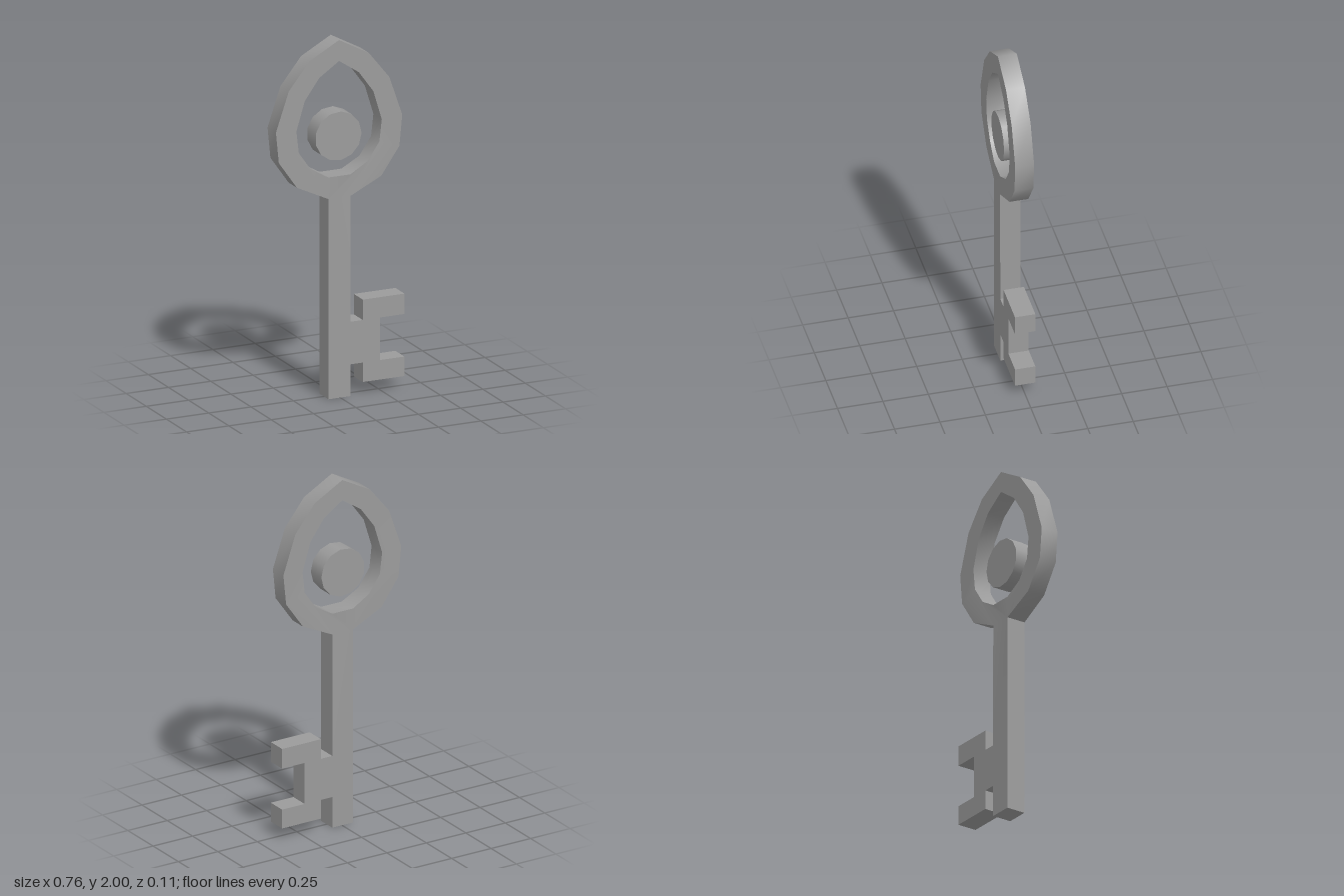
import * as THREE from 'three';
import { toCreasedNormals } from 'three/addons/utils/BufferGeometryUtils.js';

const CX = -0.005;   // axis of the bow
const HALF = 0.056;  // half thickness of shaft and bit
const THIN = 0.052;  // half thickness of the bow

// Mirror a right-hand half profile (tip first) onto the left, tip excluded
const mirrored = (half) => half.slice(1).reverse().map(([x, y]) => [-x, y]);
const toPoints = (list, dx = 0) => list.map(([x, y]) => new THREE.Vector2(x + dx, y));

export function createModel() {
  const group = new THREE.Group();
  const material = new THREE.MeshStandardMaterial({ color: 0x9b9b9b });

  // Half profiles of the pointed bow, from the tip down
  const outer = [[0, 2], [0.175, 1.905], [0.297, 1.753], [0.373, 1.532], [0.356, 1.36], [0.249, 1.207], [0.065, 1.12]];
  const inner = [[0, 1.883], [0.117, 1.804], [0.202, 1.687], [0.252, 1.523], [0.238, 1.4], [0.168, 1.3], [0.065, 1.241]];

  // Shaft with the toothed bit on the right, from the bow down and back up
  const shaftAndBit = [
    [0.061, 0.416], [0.133, 0.416], [0.133, 0.53], [0.379, 0.53], [0.379, 0.416], [0.236, 0.416],
    [0.236, 0.178], [0.379, 0.178], [0.379, 0.069], [0.133, 0.069], [0.133, 0.178], [0.061, 0.178],
    [0.061, 0], [-0.069, 0],
  ];

  // Key body: clockwise outline, with the bow opening as a counter-clockwise hole
  const shape = new THREE.Shape([
    ...toPoints(outer, CX), ...toPoints(shaftAndBit), ...toPoints(mirrored(outer), CX),
  ]);
  shape.holes.push(new THREE.Path(toPoints([...inner, ...mirrored(inner)], CX).reverse()));
  const body = new THREE.ExtrudeGeometry(shape, { depth: HALF * 2, bevelEnabled: false });
  body.translate(0, 0, -HALF);

  // The bow is slightly thinner than the shaft
  const pos = body.attributes.position;
  for (let i = 0; i < pos.count; i++) {
    const inBow = pos.getY(i) > 1.1 && Math.abs(pos.getX(i) - CX) > 0.07;
    if (inBow || pos.getY(i) > 1.3) pos.setZ(i, Math.sign(pos.getZ(i)) * THIN);
  }
  const keyBody = new THREE.Mesh(toCreasedNormals(body, 1.05), material);
  keyBody.name = 'keyBody';
  group.add(keyBody);

  // Floating disc inside the bow, one corner pointing to the right
  const disc = new THREE.CylinderGeometry(0.137, 0.137, THIN * 2, 13);
  disc.rotateY(Math.PI / 2).rotateX(Math.PI / 2);
  const centerDisc = new THREE.Mesh(disc, material);
  centerDisc.name = 'centerDisc';
  centerDisc.position.set(-0.009, 1.463, 0);
  group.add(centerDisc);

  return group;
}
